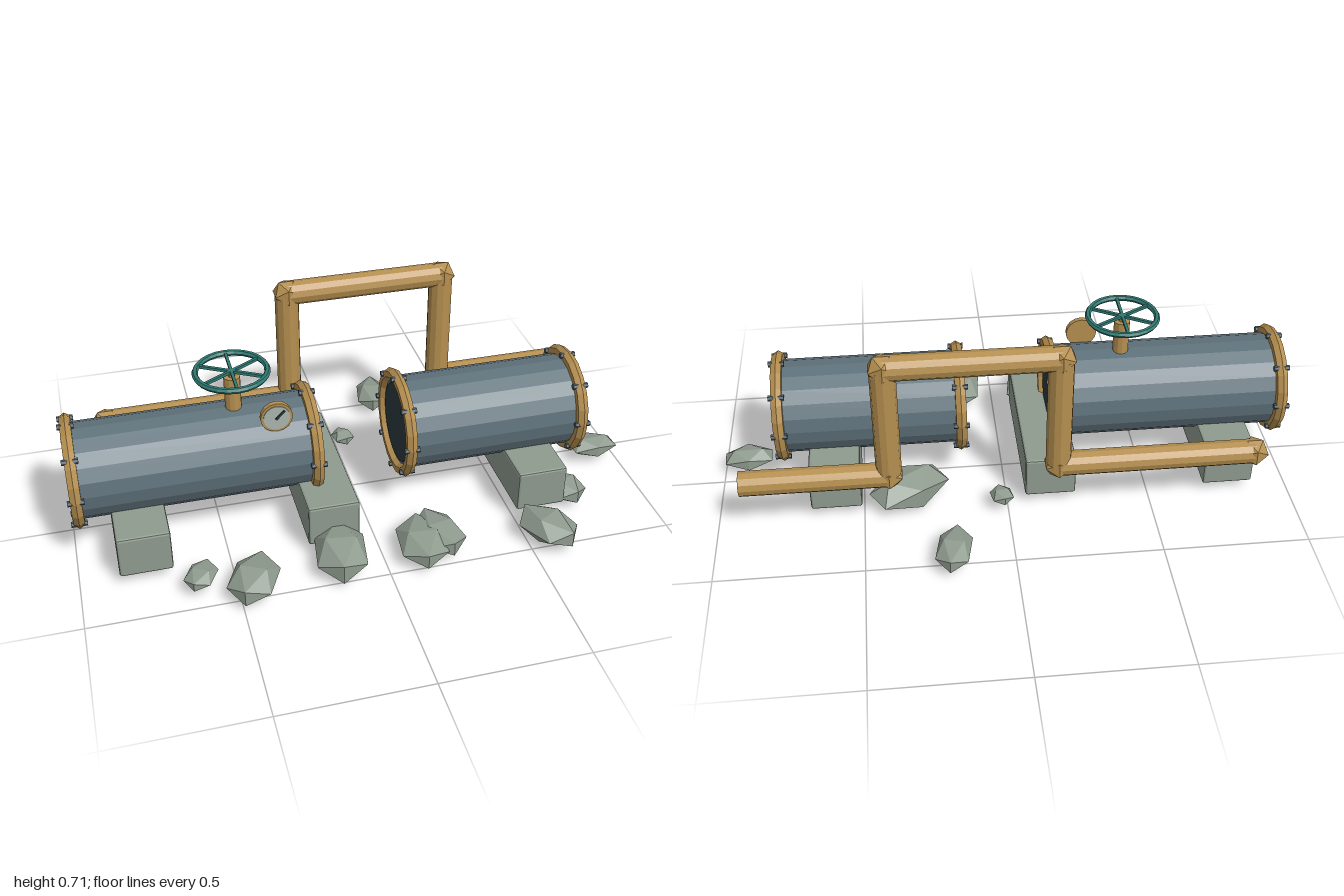
import * as THREE from 'three';
import { RoundedBoxGeometry } from 'three/addons/geometries/RoundedBoxGeometry.js';

const mat = (color) => new THREE.MeshStandardMaterial({ color, flatShading: true });
const V = (x, y, z) => new THREE.Vector3(x, y, z);

export function createModel() {
  const model = new THREE.Group();
  const steel = mat(0x5f727b), dark = mat(0x2a383e), brass = mat(0xb58f50);
  const stone = mat(0x8f9b8f), teal = mat(0x2f7a72), boltMat = mat(0x4c5d66);
  const dial = mat(0xa9b5ad);

  const add = (parent, name, geometry, material, x = 0, y = 0, z = 0) => {
    const mesh = new THREE.Mesh(geometry, material);
    mesh.name = name;
    mesh.position.set(x, y, z);
    parent.add(mesh);
    return mesh;
  };

  // cylinder running from point a to point b
  const rod = (parent, name, a, b, radius, sides, material) => {
    const dir = b.clone().sub(a);
    const mesh = add(parent, name, new THREE.CylinderGeometry(radius, radius, dir.length(), sides), material);
    mesh.position.copy(a).add(b).multiplyScalar(0.5);
    mesh.quaternion.setFromUnitVectors(V(0, 1, 0), dir.normalize());
    return mesh;
  };

  // Large pipe sections with flanges, bolts and dark openings
  const AY = 0.292, AZ = 0.052;
  const flange = (parent, x) => {
    const group = new THREE.Group();
    group.name = 'flange';
    group.position.set(x, AY, AZ);
    parent.add(group);
    add(group, 'flangeRing', new THREE.TorusGeometry(0.173, 0.021, 6, 20), brass).rotation.y = Math.PI / 2;
    for (let i = 0; i < 8; i++) {
      const a = (i * Math.PI) / 4, y = 0.178 * Math.sin(a), z = 0.178 * Math.cos(a);
      rod(group, 'flangeBolt', V(-0.027, y, z), V(0.027, y, z), 0.01, 6, boltMat);
    }
  };
  const mainPipe = (name, x0, x1) => {
    const group = new THREE.Group();
    group.name = name;
    model.add(group);
    rod(group, 'pipeBody', V(x0, AY, AZ), V(x1, AY, AZ), 0.163, 20, steel);
    rod(group, 'pipeOpening', V(x0 - 0.004, AY, AZ), V(x1 + 0.004, AY, AZ), 0.142, 20, dark);
    flange(group, x0);
    flange(group, x1);
  };
  mainPipe('longPipe', -0.973, -0.174);
  mainPipe('shortPipe', 0.149, 0.77);

  // Stone supports
  for (const x of [-0.781, -0.15, 0.593]) {
    add(model, 'support', new RoundedBoxGeometry(0.176, 0.15, 0.56, 1, 0.008), stone, x, 0.118, 0.055);
  }

  // Thin bypass pipe with faceted joints
  const bypass = new THREE.Group();
  bypass.name = 'bypassPipe';
  model.add(bypass);
  const path = [[-0.837, 0.235], [-0.163, 0.235], [-0.163, 0.666], [0.405, 0.666], [0.405, 0.235], [0.9, 0.235]]
    .map(([x, y]) => V(x, y, -0.291));
  for (let i = 0; i < path.length - 1; i++) {
    rod(bypass, 'bypassSection', path[i], path[i + 1], 0.043, 12, brass);
    add(bypass, 'bypassJoint', new THREE.IcosahedronGeometry(0.052, 0), brass).position.copy(path[i]);
  }

  // Valve with six-spoke hand wheel
  const valve = new THREE.Group();
  valve.name = 'valve';
  valve.position.set(-0.423, 0, AZ - 0.003);
  model.add(valve);
  rod(valve, 'valveStem', V(0, 0.42, 0), V(0, 0.572, 0), 0.028, 12, brass);
  rod(valve, 'valveSpindle', V(0, 0.57, 0), V(0, 0.594, 0), 0.012, 8, brass);
  add(valve, 'wheelRim', new THREE.TorusGeometry(0.119, 0.0105, 6, 24), teal, 0, 0.59, 0).rotation.x = Math.PI / 2;
  for (let i = 0; i < 3; i++) {
    const bar = add(valve, 'wheelSpoke', new THREE.BoxGeometry(0.01, 0.01, 0.236), teal, 0, 0.59, 0);
    bar.rotation.y = (i * Math.PI) / 3;
  }

  // Pressure gauge
  const gauge = new THREE.Group();
  gauge.name = 'gauge';
  gauge.position.set(-0.3, 0.463, 0.158);
  model.add(gauge);
  rod(gauge, 'gaugeCase', V(0, 0, -0.009), V(0, 0, 0.009), 0.054, 16, brass);
  rod(gauge, 'gaugeFace', V(0, 0, 0.005), V(0, 0, 0.012), 0.045, 16, dial);
  const needle = add(gauge, 'gaugeNeedle', new THREE.BoxGeometry(0.007, 0.042, 0.005), dark, 0.011, 0.011, 0.014);
  needle.rotation.z = -Math.PI / 4;

  // Loose rocks: x, y, z, half width, half height, half depth, turn
  const rocks = [
    [-0.615, 0.062, 0.41, 0.05, 0.026, 0.07, -0.5],
    [-0.452, 0.062, 0.468, 0.08, 0.05, 0.112, -0.45],
    [-0.148, 0.063, 0.41, 0.09, 0.062, 0.135, -0.15],
    [0.13, 0.06, 0.425, 0.085, 0.045, 0.125, -0.1],
    [0.2, 0.06, 0.395, 0.075, 0.045, 0.115, 0.2],
    [0.57, 0.062, 0.46, 0.08, 0.05, 0.117, 0.5],
    [0.71, 0.058, 0.27, 0.065, 0.042, 0.08, 0.3],
    [0.911, 0.062, 0.062, 0.09, 0.036, 0.056, 0.05],
    [0.205, 0.062, -0.485, 0.06, 0.04, 0.1, -0.2],
    [0.022, 0.06, -0.232, 0.04, 0.025, 0.044, 0.2],
    [0.34, 0.063, -0.16, 0.145, 0.065, 0.09, 0.55],
  ];
  for (const [x, y, z, w, h, d, turn] of rocks) {
    const rock = add(model, 'rock', new THREE.IcosahedronGeometry(1.08, 0), stone, x, y, z);
    rock.scale.set(w, h, d);
    rock.rotation.y = turn;
  }
  return model;
}
